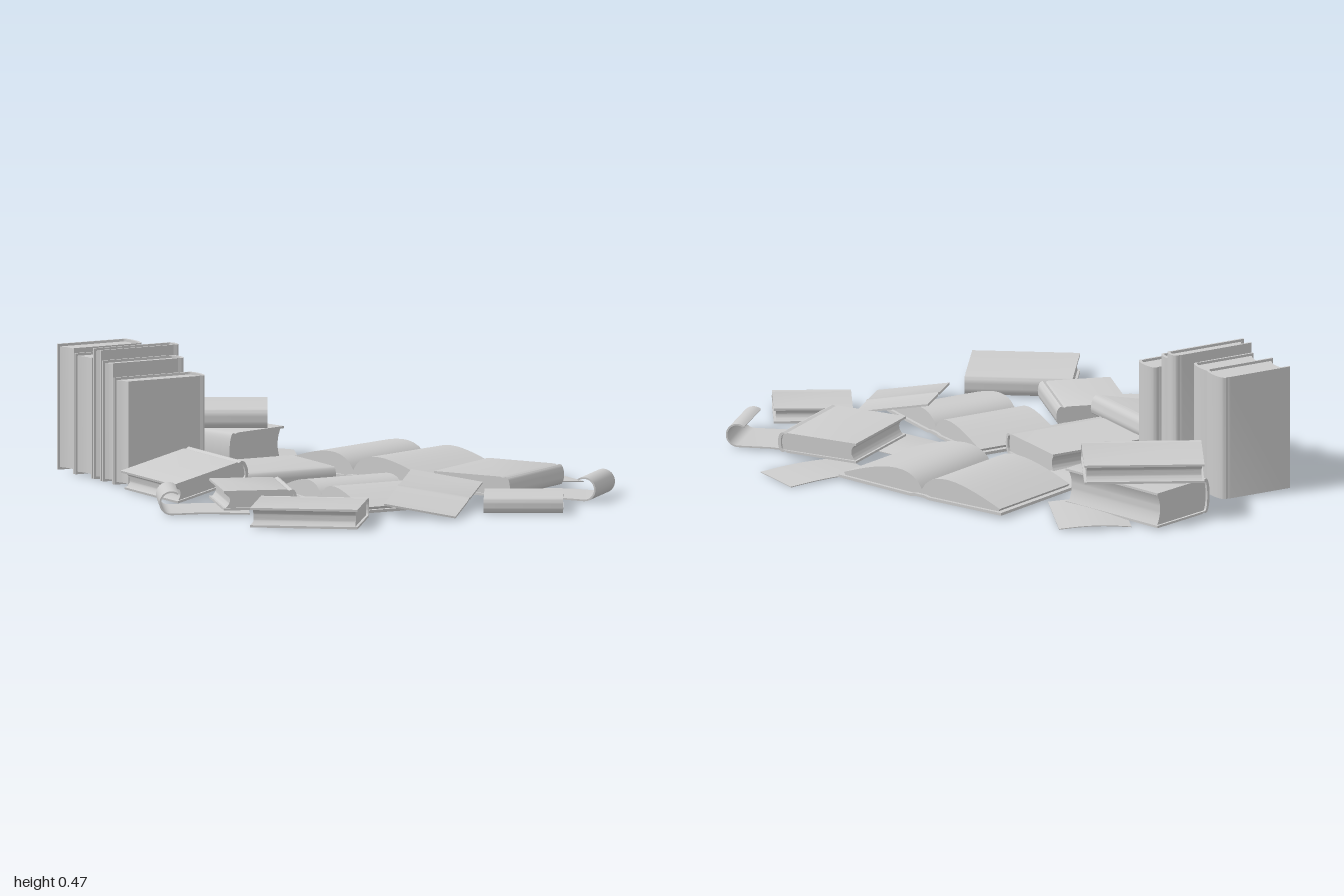
import * as THREE from 'three';
import { toCreasedNormals } from 'three/addons/utils/BufferGeometryUtils.js';

const material = new THREE.MeshStandardMaterial({ color: 0xcccccc, side: THREE.DoubleSide });

// Extrudes a profile drawn in x/y along z, centred on z = 0
function extrude(shape, depth, name) {
  const g = new THREE.ExtrudeGeometry(shape, { depth, bevelEnabled: false, curveSegments: 12 });
  g.translate(0, 0, -depth / 2);
  const mesh = new THREE.Mesh(toCreasedNormals(g, 0.6), material);
  mesh.name = name;
  return mesh;
}

// Thin bent ribbon of even thickness following 2D points
function ribbon(points, depth, thick, name) {
  const upper = points.map((p, i) => {
    const a = points[Math.max(i - 1, 0)], b = points[Math.min(i + 1, points.length - 1)];
    const d = b.clone().sub(a).normalize();
    return new THREE.Vector2(p.x - d.y * thick, p.y + d.x * thick);
  });
  return extrude(new THREE.Shape([...points, ...upper.reverse()]), depth, name);
}

function group(name, ...parts) {
  const g = new THREE.Group();
  g.name = name;
  g.add(...parts);
  return g;
}

// Closed book: spine towards +x, length along z, thickness along y
function closedBook(name, w, len, t) {
  const c = 0.008, b = Math.min(0.02, t * 0.25);
  const xs = w / 2 - b, h = t / 2, hi = h - c;

  // Hard cover: two boards, hinge grooves and a rounded spine
  const cover = new THREE.Shape();
  cover.moveTo(-w / 2, h);
  cover.lineTo(xs - 0.02, h);
  cover.lineTo(xs - 0.011, h - 0.004);
  cover.lineTo(xs, h);
  cover.bezierCurveTo(xs + b * 4 / 3, h, xs + b * 4 / 3, -h, xs, -h);
  cover.lineTo(xs - 0.011, -h + 0.004);
  cover.lineTo(xs - 0.02, -h);
  cover.lineTo(-w / 2, -h);
  cover.lineTo(-w / 2, -hi);
  cover.lineTo(xs - c / 2, -hi);
  cover.bezierCurveTo(xs + b - c, -hi, xs + b - c, hi, xs - c / 2, hi);
  cover.lineTo(-w / 2, hi);

  // Page block with a hollow fore edge
  const pages = new THREE.Shape();
  const xf = -w / 2 + 0.008;
  pages.moveTo(xf, hi);
  pages.quadraticCurveTo(xf + 0.03, 0, xf, -hi);
  pages.lineTo(xs - c / 2, -hi);
  pages.bezierCurveTo(xs + b - c, -hi, xs + b - c, hi, xs - c / 2, hi);

  return group(name, extrude(cover, len, 'cover'), extrude(pages, len - 0.018, 'pages'));
}

// Open book lying face up: long side along x, gutter along z at x = 0
function openBook(name, long, w, top) {
  const L = long / 2, e = L - 0.015, base = 0.01;
  const cover = ribbon([
    [-L, 0.006], [-0.04, 0], [-0.02, 0.004], [0.02, 0.004], [0.04, 0], [L, 0.006],
  ].map(p => new THREE.Vector2(...p)), w, 0.01, 'cover');

  // Two arched page stacks meeting in the gutter
  const pages = new THREE.Shape();
  pages.moveTo(-e + 0.01, base);
  pages.lineTo(-e, base + 0.015);
  pages.bezierCurveTo(-L * 0.6, top * 0.75, -L * 0.15, top * 1.32, 0, 0.03);
  pages.bezierCurveTo(L * 0.15, top * 1.32, L * 0.6, top * 0.75, e, base + 0.015);
  pages.lineTo(e - 0.01, base);
  return group(name, cover, extrude(pages, w - 0.024, 'pages'));
}

// Loose sheet with a slight bow
function looseSheet(name, w, len) {
  const pts = [];
  for (let i = 0; i <= 10; i++) {
    const u = i / 10;
    pts.push(new THREE.Vector2((u - 0.5) * w, 0.008 * Math.sin(u * Math.PI)));
  }
  return group(name, ribbon(pts, len, 0.003, 'sheet'));
}

// Soft booklet: flat towards -x, curling up and over at +x = 0
function curledBooklet(name, w, len) {
  const r = 0.043, pts = [new THREE.Vector2(-w, 0), new THREE.Vector2(-w / 2, 0.004)];
  for (let i = 0; i <= 16; i++) {
    const a = -Math.PI / 2 + (i / 16) * Math.PI * 1.2;
    pts.push(new THREE.Vector2(-r + r * Math.cos(a), r + r * Math.sin(a)));
  }
  return group(name, ribbon(pts, len, 0.006, 'booklet'));
}

// Thin open cover, bent slightly along the middle of its length
function openCover(name, long, w) {
  const pts = [[-long / 2, 0], [-0.018, 0], [-0.009, 0.004], [0.009, 0.004], [0.018, 0], [long / 2, 0]];
  return group(name, ribbon(pts.map(p => new THREE.Vector2(...p)), w, 0.007, 'cover'));
}

export function createModel() {
  const model = new THREE.Group();
  model.name = 'scatteredBooks';

  // yaw turns about y, then pitch about x, then roll about z
  const put = (obj, x, y, z, yaw = 0, pitch = 0, roll = 0) => {
    obj.position.set(x, y, z);
    obj.rotation.set(pitch, yaw, roll, 'YXZ');
    model.add(obj);
  };

  // Standing row: [back z, front z, spine x, height]
  [
    [-0.815, -0.69, -0.36, 0.457],
    [-0.685, -0.555, -0.39, 0.44],
    [-0.55, -0.488, -0.325, 0.475],
    [-0.483, -0.4, -0.35, 0.44],
    [-0.397, -0.285, -0.325, 0.39],
  ].forEach(([z0, z1, x1, h], i) => {
    const book = closedBook(`standingBook${i + 1}`, x1 + 0.645, h - 0.008, z1 - z0);
    put(book, (x1 - 0.645) / 2, 0.004 + h / 2, (z0 + z1) / 2, 0, -Math.PI / 2);
  });

  // Closed books lying down: [name, x, z, bottom, width, length, thickness, yaw]
  [
    ['middleBook', -0.19, -0.097, 0.008, 0.325, 0.38, 0.078, -Math.PI / 2],
    ['frontLeftBook', -0.475, 0.745, 0.008, 0.318, 0.383, 0.07, 0.945],
    ['leftBook', -0.472, 0.32, 0.02, 0.262, 0.318, 0.07, -0.33],
    ['rightBook', 0.465, 0.415, 0.022, 0.312, 0.377, 0.073, -1.03],
    ['frontSmallBook', 0.345, 0.82, 0.008, 0.237, 0.28, 0.055, -2.08],
    ['backLowerBook', -0.055, -0.75, 0.012, 0.27, 0.445, 0.128, -2.86],
    ['backUpperBook', -0.075, -0.752, 0.144, 0.308, 0.425, 0.069, -2.07],
  ].forEach(([name, x, z, y0, w, len, t, yaw]) => {
    put(closedBook(name, w, len, t), x, y0 + t / 2, z, yaw);
  });

  // Book leaning up against the middle book
  put(closedBook('leaningBook', 0.297, 0.395, 0.07), -0.53, 0.077, -0.076, 0, 0, 0.24);

  // Open books
  put(openBook('largeOpenBook', 0.74, 0.415, 0.1), 0.35, 0.01, -0.182, 0.35 + Math.PI / 2);
  put(openBook('smallOpenBook', 0.63, 0.355, 0.085), -0.063, 0.008, 0.375, Math.PI / 2);

  // Open cover resting on the small open book
  put(openCover('tiltedOpenCover', 0.462, 0.26), 0.065, 0.058, 0.665, -0.687 + Math.PI / 2, 0.15, 0.13);

  // Loose sheets on the floor
  put(looseSheet('middleSheet', 0.312, 0.285), -0.125, 0.012, -0.35, 0.265);
  put(looseSheet('rightSheet', 0.34, 0.21), 0.69, 0.004, 0.21);
  put(looseSheet('centreSheet', 0.22, 0.3), 0.25, 0.006, 0.28, 0.33);
  put(looseSheet('backSheet', 0.257, 0.33), 0.13, 0.008, -0.73, -0.42);

  // Curled booklets at either side
  put(curledBooklet('leftCurledBooklet', 0.32, 0.233), -0.815, 0.008, 0.245, Math.PI - 0.445);
  put(curledBooklet('rightCurledBooklet', 0.32, 0.222), 0.73, 0.008, 0.715, -0.81);

  return model;
}
